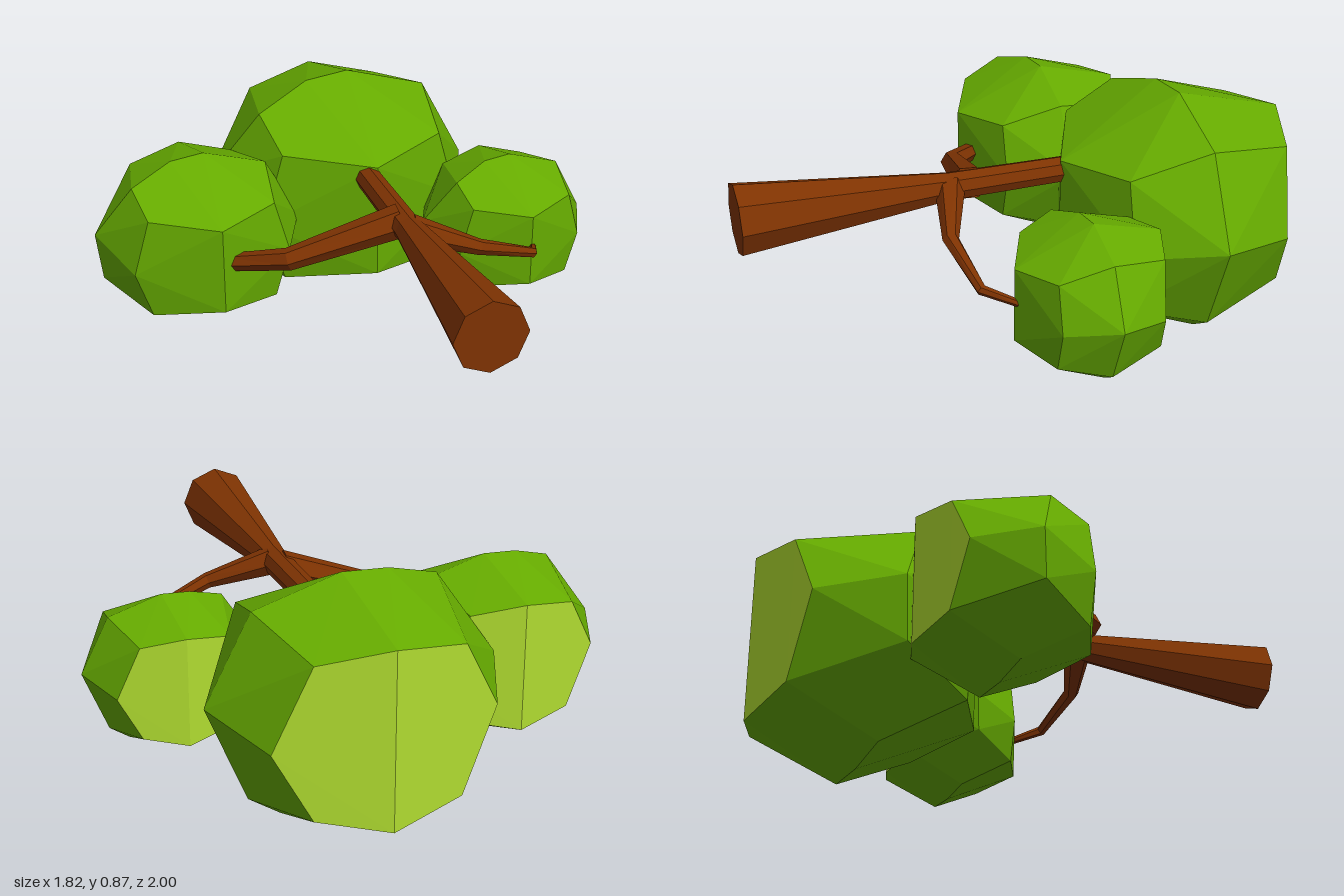
import * as THREE from 'three';
import { ConvexGeometry } from 'three/addons/geometries/ConvexGeometry.js';

function material(name, color) {
  const m = new THREE.MeshStandardMaterial({ color, flatShading: true });
  m.name = name;
  return m;
}

// Tapered limb through rings of [x, y, z, radius], closed at both ends
function limbGeometry(path, sides) {
  const pts = path.map(p => new THREE.Vector3(p[0], p[1], p[2]));
  const up = new THREE.Vector3(0, 1, 0);
  const pos = [], index = [];
  pts.forEach((p, i) => {
    const t = pts[Math.min(i + 1, pts.length - 1)].clone().sub(pts[Math.max(i - 1, 0)]).normalize();
    const u = t.clone().cross(up).normalize();
    const v = u.clone().cross(t);
    for (let j = 0; j < sides; j++) {
      const a = (j / sides) * Math.PI * 2;
      const q = p.clone().addScaledVector(u, Math.cos(a) * path[i][3]).addScaledVector(v, Math.sin(a) * path[i][3]);
      pos.push(q.x, q.y, q.z);
    }
  });
  const last = (pts.length - 1) * sides;
  for (let j = 0; j < sides; j++) {
    const k = (j + 1) % sides;
    for (let r = 0; r < last; r += sides) {
      index.push(r + j, r + sides + j, r + k, r + k, r + sides + j, r + sides + k);
    }
    if (j > 0 && k > 0) index.push(0, j, k, last, last + k, last + j);
  }
  const g = new THREE.BufferGeometry();
  g.setAttribute('position', new THREE.Float32BufferAttribute(pos, 3));
  g.setIndex(index);
  const flat = g.toNonIndexed();
  flat.computeVertexNormals();
  return flat;
}

// Corners of a crown of unit radius, with a ridge at the tip (z = -1)
const crownCorners = [
  // tip ridge, base ridge
  [0.025, 0.73, -1], [0.025, -0.73, -1], [0.025, 0.51, 1], [0.025, -0.51, 1],
  // upper and lower crests
  [0.08, 1, -0.04], [-0.25, 0.97, 0], [0.68, 0.78, -0.04], [-0.66, 0.8, 0.2],
  [0.025, -1, -0.04], [0.5, -0.93, -0.04], [0.72, -0.76, -0.04], [-0.38, -0.94, 0],
  // flanks
  [1, 0.05, -0.04], [-1, 0.17, -0.04], [-0.95, -0.37, 0],
  [0.75, -0.07, -0.73], [-0.76, 0.05, -0.73], [0.74, -0.03, 0.66], [-0.75, -0.05, 0.65],
];
for (const s of [-1, 1]) {
  for (const t of [-1, 1]) crownCorners.push([s * 0.5, t * 0.62, -0.82], [s * 0.6, t * 0.59, 0.66]);
}

// Faceted crown: faces turned to the tip form group 1
function crownGeometry(rx, ry, rz) {
  const pts = crownCorners.map(([x, y, z]) => new THREE.Vector3(x * rx, y * ry, z * rz));
  const src = new ConvexGeometry(pts).getAttribute('position');
  const lists = [[], []];
  const tri = new THREE.Triangle(), n = new THREE.Vector3();
  for (let i = 0; i < src.count; i += 3) {
    tri.setFromAttributeAndIndices(src, i, i + 1, i + 2);
    tri.getNormal(n);
    const list = lists[n.z < -0.65 ? 1 : 0];
    for (const p of [tri.a, tri.b, tri.c]) list.push(p.x, p.y, p.z);
  }
  const g = new THREE.BufferGeometry();
  g.setAttribute('position', new THREE.Float32BufferAttribute(lists.flat(), 3));
  g.addGroup(0, lists[0].length / 3, 0);
  g.addGroup(lists[0].length / 3, lists[1].length / 3, 1);
  g.computeVertexNormals();
  return g;
}

export function createModel() {
  const bark = material('bark brown', 0x7f3302);
  const leaf = material('leaf green', 0x66ab00);
  const tip = material('light leaf green', 0xb0dc30);
  const tree = new THREE.Group();
  tree.name = 'tree';

  const add = (name, geometry, mat) => {
    const mesh = new THREE.Mesh(geometry, mat);
    mesh.name = name;
    tree.add(mesh);
    return mesh;
  };

  // Trunk and branches
  add('trunk', limbGeometry([
    [0.085, 0.608, 1, 0.131], [0.09, 0.61, 0.25, 0.052], [0.092, 0.61, -0.4, 0.045],
  ], 8), bark);
  add('rightBranch', limbGeometry([
    [0.09, 0.61, 0.17, 0.062], [-0.31, 0.495, 0.112, 0.041], [-0.5, 0.437, -0.04, 0.032],
  ], 6), bark);
  add('leftBranch', limbGeometry([
    [0.1, 0.61, 0.245, 0.054], [0.33, 0.535, 0.315, 0.029],
    [0.555, 0.455, 0.28, 0.019], [0.62, 0.4, 0.14, 0.012],
  ], 6), bark);

  // Crowns: name, centre, radii
  const crowns = [
    ['mainCrown', [0.107, 0.436, -0.58], [0.515, 0.434, 0.42]],
    ['rightCrown', [-0.53, 0.43, -0.295], [0.385, 0.32, 0.315]],
    ['leftCrown', [0.59, 0.4, -0.08], [0.317, 0.27, 0.26]],
  ];
  for (const [name, centre, radii] of crowns) {
    add(name, crownGeometry(...radii), [leaf, tip]).position.set(...centre);
  }
  return tree;
}
